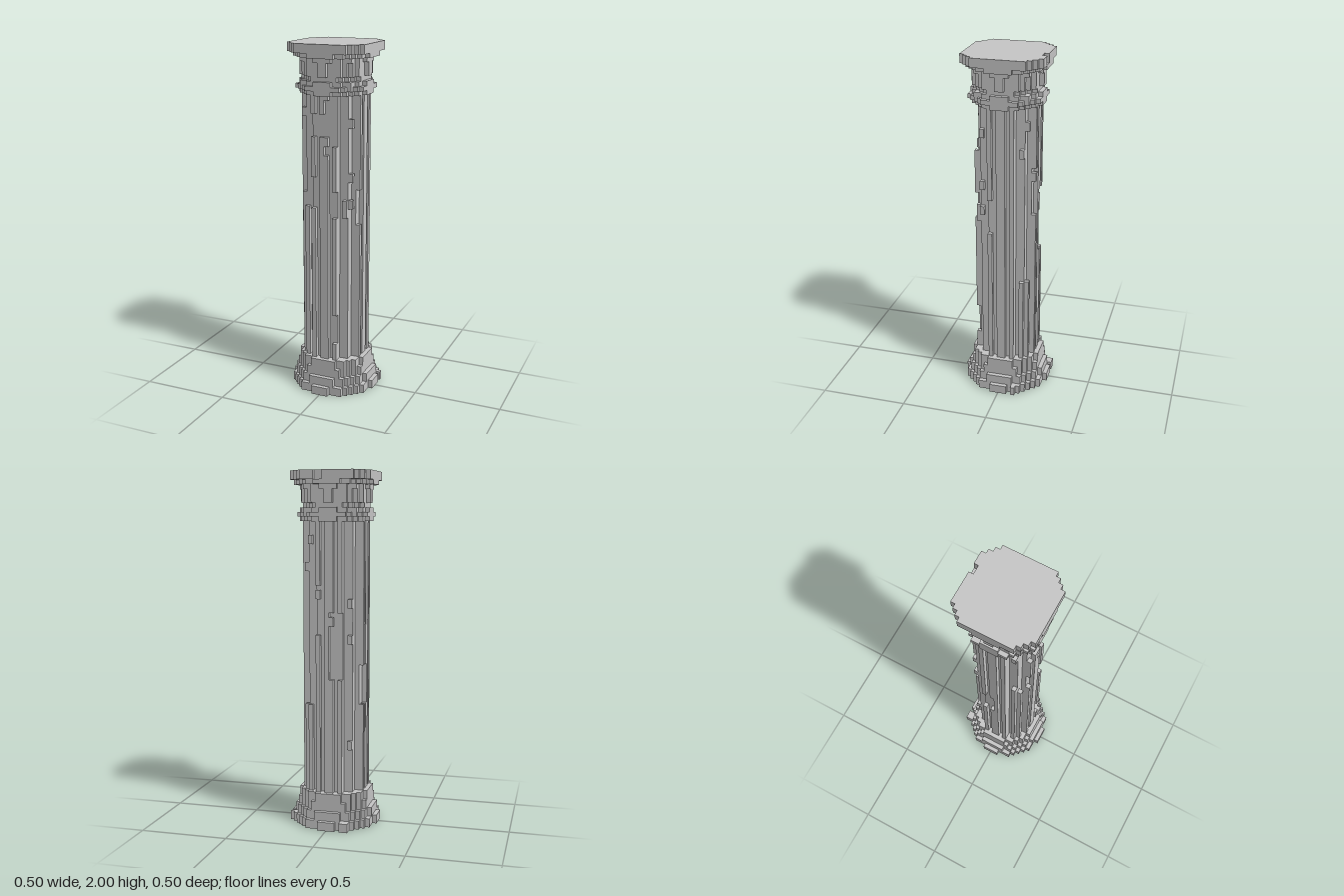
import * as THREE from 'three';

const V = 0.025; // size of one block

// Stacked parts: name, then layers [first row, end row, squared radius, widest half-width]
const PARTS = [
  ['base', [[0, 2, 95, 10], [2, 4, 82, 9], [4, 6, 70, 8], [6, 8, 63, 8]]],
  ['flutedShaft', [[8, 69, 51, 7]]],
  ['collar', [[69, 70, 60, 8], [70, 71, 70, 8], [71, 72, 62, 8]]],
  ['neck', [[72, 73, 49, 7]]],
  ['capital', [[73, 76, 57, 8], [76, 77, 62, 8]]],
  ['abacus', [[77, 78, 82, 9], [78, 80, 104, 9]]],
];
const ROWS = [];
for (const [name, layers] of PARTS)
  for (const [a, b, r2, half] of layers)
    for (let j = a; j < b; j++) ROWS[j] = { name, r2, half };

// Worn patches on the shaft: x from/to, row from/to, z from/to
const WORN = [
  // diagonal ribs
  [4, 5, 8, 68, 4, 5], [-6, -5, 8, 68, -6, -5], [-6, -5, 47, 68, 4, 5], [4, 5, 28, 68, -6, -5],
  // front and sides
  [-3, 2, 60, 64, 6, 6], [0, 2, 56, 68, 5, 6], [-5, -3, 44, 50, 4, 6],
  [2, 4, 42, 47, 4, 6], [2, 2, 12, 18, 6, 6], [5, 6, 40, 47, 2, 4],
  // back
  [-4, -1, 34, 48, -7, -5], [-7, -5, 28, 36, -5, -1], [1, 4, 44, 54, -7, -5],
];

const noise = (i, j, k) => {
  const s = Math.sin(i * 12.99 + j * 78.23 + k * 37.72) * 43758.55;
  return s - Math.floor(s);
};

function solid(i, j, k) {
  const row = ROWS[j];
  if (!row) return false;
  const u = i < 0 ? -1 - i : i, w = k < 0 ? -1 - k : k; // distance from the axis, in cells
  const d2 = (u + 0.5) ** 2 + (w + 0.5) ** 2;
  // loose blocks at the foot, chipped rear edge at the top
  if (j < 2 && ((k === -10 && (i === -5 || i === -4)) || (i === 9 && k === -4))) return true;
  if (j >= 78 && k === -9 && (i === 1 || i === 2)) return false;
  if (d2 > row.r2 || Math.max(u, w) >= row.half) return false;
  if (row.name === 'flutedShaft' && d2 > 41) {
    const a = Math.max(u, w), b = Math.min(u, w);
    if ((a === 6 && b === 1) || (a === 5 && b === 3)) return false; // flutes
    for (const [x0, x1, y0, y1, z0, z1] of WORN)
      if (i >= x0 && i <= x1 && j >= y0 && j <= y1 && k >= z0 && k <= z1)
        return noise(i, j >> 1, k) < 0.07;
  }
  return true;
}

// Surface of the blocks between two rows; neighbouring faces join into strips
function blockGeometry(from, to) {
  const pos = [], nor = [];
  const lo = [-11, from, -11], hi = [11, to, 11];
  for (let axis = 0; axis < 3; axis++) {
    const run = axis === 1 ? 0 : 1; // axis along which strips grow
    const other = 3 - axis - run;
    for (const sign of [-1, 1]) {
      const n = [0, 0, 0];
      n[axis] = sign;
      const exposed = (c) => solid(...c) && !solid(c[0] + n[0], c[1] + n[1], c[2] + n[2]);
      const strip = (a, o, r0, r1) => {
        const corner = (r, s) => {
          const p = [0, 0, 0];
          p[axis] = (a + (sign > 0 ? 1 : 0)) * V;
          p[run] = r * V;
          p[other] = s * V;
          return p;
        };
        const q = [corner(r0, o), corner(r1, o), corner(r1, o + 1), corner(r0, o + 1)];
        const forward = (run + 1) % 3 === other; // run x other points along +axis
        const order = forward === sign > 0 ? [0, 1, 2, 0, 2, 3] : [0, 2, 1, 0, 3, 2];
        for (const v of order) {
          pos.push(...q[v]);
          nor.push(...n);
        }
      };
      for (let a = lo[axis]; a < hi[axis]; a++)
        for (let o = lo[other]; o < hi[other]; o++) {
          let start = null;
          for (let r = lo[run]; r <= hi[run]; r++) {
            const c = [0, 0, 0];
            c[axis] = a; c[other] = o; c[run] = r;
            const on = r < hi[run] && exposed(c);
            if (on && start === null) start = r;
            if (!on && start !== null) {
              strip(a, o, start, r);
              start = null;
            }
          }
        }
    }
  }
  const g = new THREE.BufferGeometry();
  g.setAttribute('position', new THREE.Float32BufferAttribute(pos, 3));
  g.setAttribute('normal', new THREE.Float32BufferAttribute(nor, 3));
  return g;
}

export function createModel() {
  const group = new THREE.Group();
  group.name = 'column';
  const stone = new THREE.MeshStandardMaterial({ color: 0xc8c8c8 });
  stone.name = 'pale grey stone';
  for (const [name, layers] of PARTS) {
    const mesh = new THREE.Mesh(blockGeometry(layers[0][0], layers[layers.length - 1][1]), stone);
    mesh.name = name;
    group.add(mesh);
  }
  return group;
}
